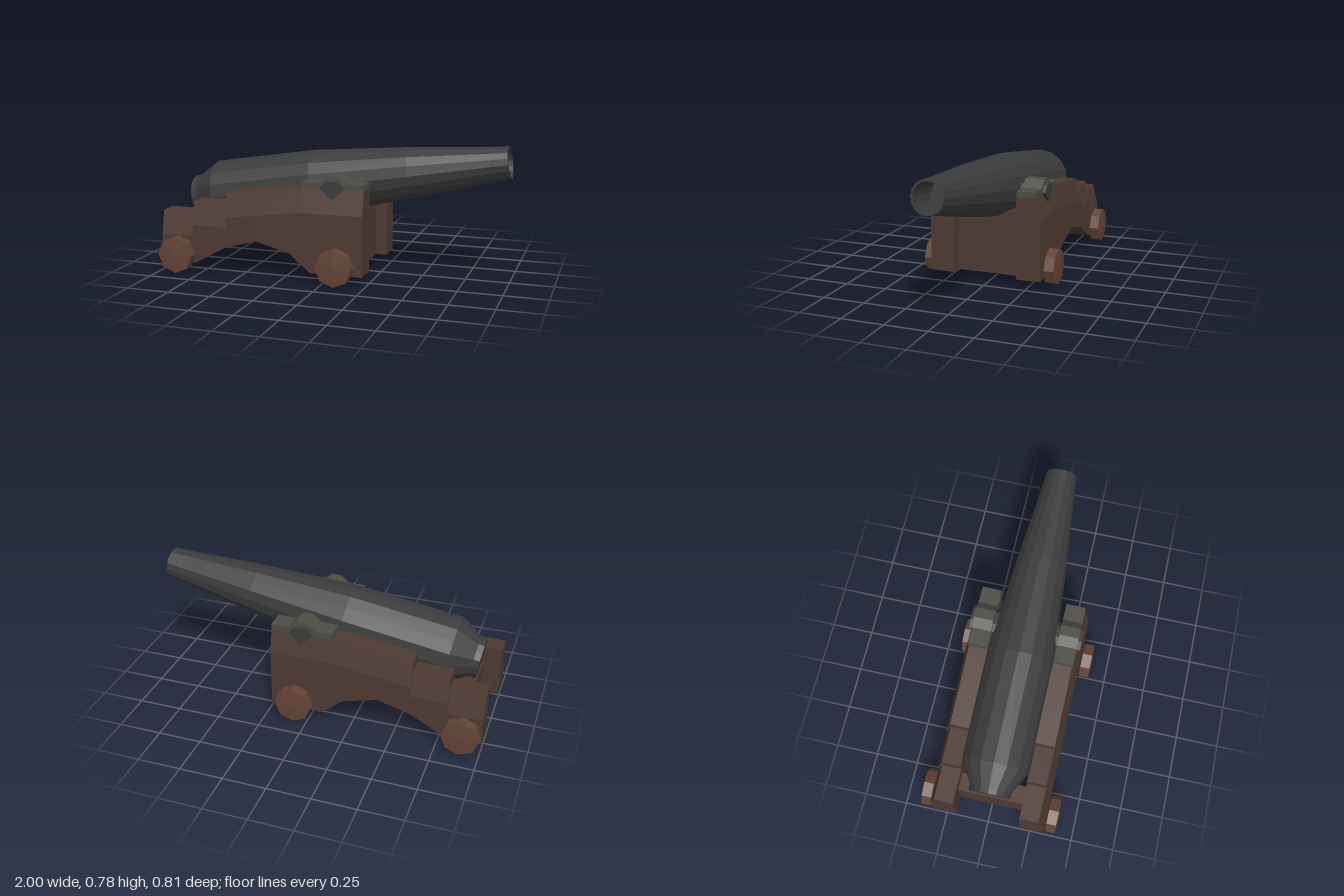
import * as THREE from 'three';

const mat = (color) => new THREE.MeshStandardMaterial({ color, flatShading: true, side: THREE.DoubleSide });
const wood = mat(0x4e3a32), wheelWood = mat(0x634337), iron = mat(0x3b3b3b), strapIron = mat(0x4d4d46);

function add(parent, name, geometry, material) {
  const mesh = new THREE.Mesh(geometry, material);
  mesh.name = name;
  parent.add(mesh);
  return mesh;
}

const lathe = (points, sides) =>
  new THREE.LatheGeometry(points.map(([r, y]) => new THREE.Vector2(r, y)), sides);

// Outline in x and y, extruded from z0 to z1
function slab(points, z0, z1) {
  const shape = new THREE.Shape(points.map(([x, y]) => new THREE.Vector2(x, y)));
  return new THREE.ExtrudeGeometry(shape, { depth: z1 - z0, bevelEnabled: false }).translate(0, 0, z0);
}

// Joins cross-sections of equal point count and caps both ends
function loft(rings) {
  const pos = [], n = rings[0].length;
  const tri = (a, b, c) => pos.push(...a, ...b, ...c);
  for (let i = 0; i < rings.length - 1; i++) {
    for (let j = 0; j < n; j++) {
      const k = (j + 1) % n, a = rings[i], b = rings[i + 1];
      tri(a[j], b[j], b[k]);
      tri(a[j], b[k], a[k]);
    }
  }
  const first = rings[0], last = rings[rings.length - 1];
  for (let j = 1; j < n - 1; j++) {
    tri(first[0], first[j], first[j + 1]);
    tri(last[0], last[j + 1], last[j]);
  }
  const g = new THREE.BufferGeometry();
  g.setAttribute('position', new THREE.Float32BufferAttribute(pos, 3));
  g.computeVertexNormals();
  return g;
}

// Stepped cheek with arched underside; each station is x, bottom, top
function cheekGeometry() {
  const stations = [
    [-1, 0.055, 0.355], [-0.8, 0.055, 0.355], [-0.8, 0.055, 0.42], [-0.79, 0.055, 0.42],
    [-0.6, 0.16, 0.42], [-0.59, 0.163, 0.42], [-0.59, 0.163, 0.48], [-0.405, 0.215, 0.504],
    [-0.2, 0.16, 0.531], [-0.13, 0.1, 0.54], [-0.08, 0.055, 0.54], [0.23, 0.055, 0.54],
  ];
  return loft(stations.map(([x, bottom, top]) => [
    [x, bottom, 0.19], [x, bottom, 0.333], [x, top - 0.14, 0.333], [x, top, 0.3], [x, top, 0.19],
  ]));
}

// One side of the carriage
function createSide(name) {
  const side = new THREE.Group();
  side.name = name;
  add(side, 'cheek', cheekGeometry(), wood);

  // Iron strap arching over the trunnion
  add(side, 'trunnionStrap', slab([
    [-0.13, 0.538], [0.23, 0.538], [0.23, 0.57], [0.13, 0.57],
    [0.08, 0.613], [0.02, 0.613], [-0.03, 0.57], [-0.13, 0.57],
  ], 0.193, 0.305), strapIron);

  add(side, 'trunnion', slab([
    [0.05, 0.482], [0.12, 0.546], [0.085, 0.583], [0.015, 0.583], [-0.025, 0.546],
  ], 0.1, 0.324), iron);

  // Eight-sided wheels with shallow domed faces
  for (const [label, x] of [['rearWheel', -0.89], ['frontWheel', 0.08]]) {
    const g = lathe([[0, 0.325], [0.107, 0.34], [0.107, 0.397], [0, 0.406]], 8).rotateX(Math.PI / 2);
    add(side, label, g, wheelWood).position.set(x, 0.109, 0);
  }
  return side;
}

export function createModel() {
  const cannon = new THREE.Group();
  cannon.name = 'cannon';

  // Barrel with hollow muzzle, tilted upwards
  const barrel = add(cannon, 'barrel', lathe([
    [0, 0], [0.118, 0], [0.12, 0.035], [0.193, 0.165], [0.192, 0.79], [0.147, 1.36],
    [0.098, 1.82], [0.092, 1.916], [0.08, 1.916], [0.08, 1.7], [0, 1.7],
  ], 16), iron);
  barrel.position.set(-0.912, 0.396, 0);
  barrel.rotation.z = -THREE.MathUtils.degToRad(81.2);

  // Mirrored carriage sides
  const right = createSide('carriageSideBack');
  right.scale.z = -1;
  cannon.add(createSide('carriageSideFront'), right);

  // Cross boards between the cheeks
  add(cannon, 'rearTransom', new THREE.BoxGeometry(0.1, 0.205, 0.39), wood).position.set(-0.85, 0.1575, 0);
  const transom = add(cannon, 'frontTransom', slab([
    [-0.191, 0.055], [0.191, 0.055], [0.191, 0.26], [0.168, 0.43], [-0.168, 0.43], [-0.191, 0.26],
  ], 0.03, 0.165), wood);
  transom.rotation.y = Math.PI / 2;

  return cannon;
}
